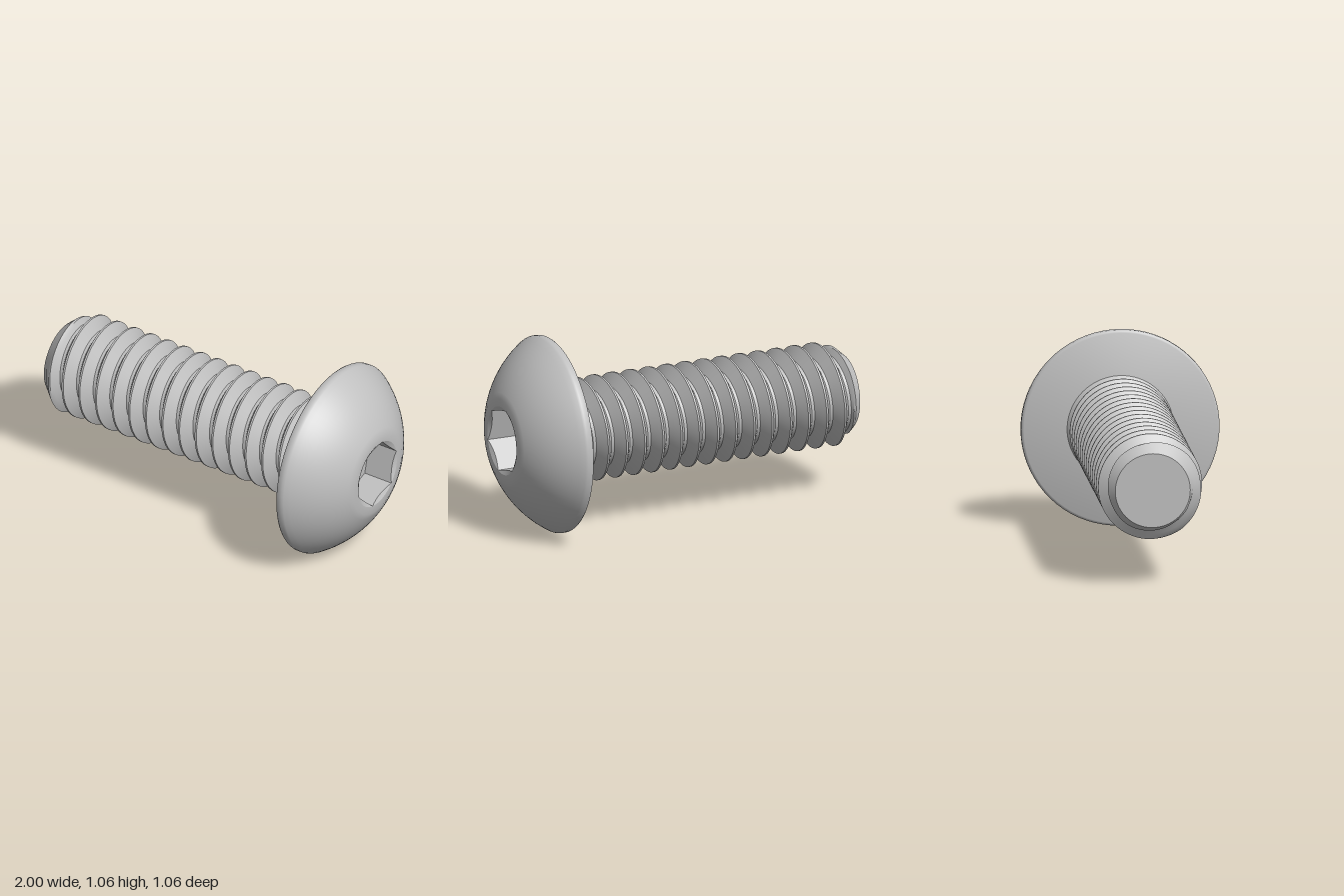
import * as THREE from 'three';
import { toCreasedNormals } from 'three/addons/utils/BufferGeometryUtils.js';

const AXIS_Y = 0.53;       // height of the screw's axis, which runs along x
const SEGMENTS = 72;
const HEAD_X = 0.7;        // underside of the head
const PITCH = 0.1063;

// Surface around the x axis: at(row, angle) gives [x, radius]; angle runs from +y to +z.
function ringSurface(rows, at, crease) {
  const positions = [], index = [];
  rows.forEach((row, i) => {
    for (let j = 0; j <= SEGMENTS; j++) {
      const a = (j % SEGMENTS) / SEGMENTS * Math.PI * 2;
      const [x, r] = at(row, j / SEGMENTS * Math.PI * 2);
      positions.push(x, r * Math.cos(a), r * Math.sin(a));
      if (i === 0 || j === 0) continue;
      const d = i * (SEGMENTS + 1) + j, c = d - 1;
      const b = d - SEGMENTS - 1, p = b - 1;
      index.push(p, b, c, b, d, c);
    }
  });
  const geometry = new THREE.BufferGeometry();
  geometry.setAttribute('position', new THREE.Float32BufferAttribute(positions, 3));
  geometry.setIndex(index);
  return toCreasedNormals(geometry, crease);
}

// Helical thread, chamfered at the tip and flared into the head
function threadGeometry() {
  const crestX = -0.853, crest = 0.28, root = 0.213;
  const crestHalf = 0.05, rootHalf = 0.08;
  const radius = (x, a) => {
    const turn = (x - crestX) / PITCH - a / (Math.PI * 2);
    const off = Math.abs(turn - Math.round(turn));       // 0 at crest, 0.5 at root
    const t = THREE.MathUtils.clamp((off - crestHalf) / (0.5 - rootHalf - crestHalf), 0, 1);
    const thread = crest + (root - crest) * t;
    const tip = 0.2 + (x + 1) * 0.9;
    const flare = 0.285 - (HEAD_X - x) * 0.95;
    return Math.max(Math.min(thread, tip), flare);
  };
  const steps = [-0.05, 0.05, 0.14, 0.235, 0.33, 0.42, 0.58, 0.67, 0.765, 0.86];
  const rows = [];
  for (let k = -3; k <= 15; k++) for (const s of steps) rows.push(k + s);
  return ringSurface(rows, (row, a) => {
    const x = THREE.MathUtils.clamp(crestX + PITCH * (row + a / (Math.PI * 2)), -1, HEAD_X);
    return [x, radius(x, a)];
  }, 0.5);
}

// Domed button head with a rounded rim, open around the socket
function headGeometry(socketRadius) {
  const profile = [[HEAD_X, 0], [HEAD_X, 0.515], [0.704, 0.524], [0.713, 0.53], [0.738, 0.53]];
  const centre = 0.428, R = 0.616;
  const start = Math.asin(0.525 / R), end = Math.asin(0.228 / R);
  for (let i = 0; i <= 12; i++) {
    const t = start + (end - start) * i / 12;
    profile.push([Math.min(1, centre + R * Math.cos(t)), R * Math.sin(t)]);
  }
  profile.push([1, socketRadius]);
  return ringSurface(profile, p => p, 0.7);
}

// Hexagonal recess with a conical lead-in
function socketGeometry(socketRadius) {
  const floorX = 0.83, sector = Math.PI / 3, firstCorner = -Math.PI / 12;
  const hex = a => {
    const local = (a - firstCorner) % sector;
    return socketRadius * Math.cos(sector / 2) / Math.cos(local - sector / 2);
  };
  const rows = [
    () => [1, socketRadius],
    a => [1 - 0.5 * (socketRadius - hex(a)), hex(a)],
    a => [floorX, hex(a)],
    () => [floorX, 0],
  ];
  return ringSurface(rows, (row, a) => row(a), 0.4);
}

export function createModel() {
  const steel = new THREE.MeshStandardMaterial({ color: 0xc0c0c0 });
  steel.name = 'steel';
  const model = new THREE.Group();
  model.name = 'buttonHeadScrew';

  const add = (name, geometry) => {
    const mesh = new THREE.Mesh(geometry, steel);
    mesh.name = name;
    mesh.position.y = AXIS_Y;
    model.add(mesh);
  };

  const socketRadius = 0.185;
  add('threadedShank', threadGeometry());
  add('shankTip', ringSurface([[-1, 0], [-1, 0.2]], p => p, 0.5));
  add('head', headGeometry(socketRadius));
  add('hexSocket', socketGeometry(socketRadius));
  return model;
}
